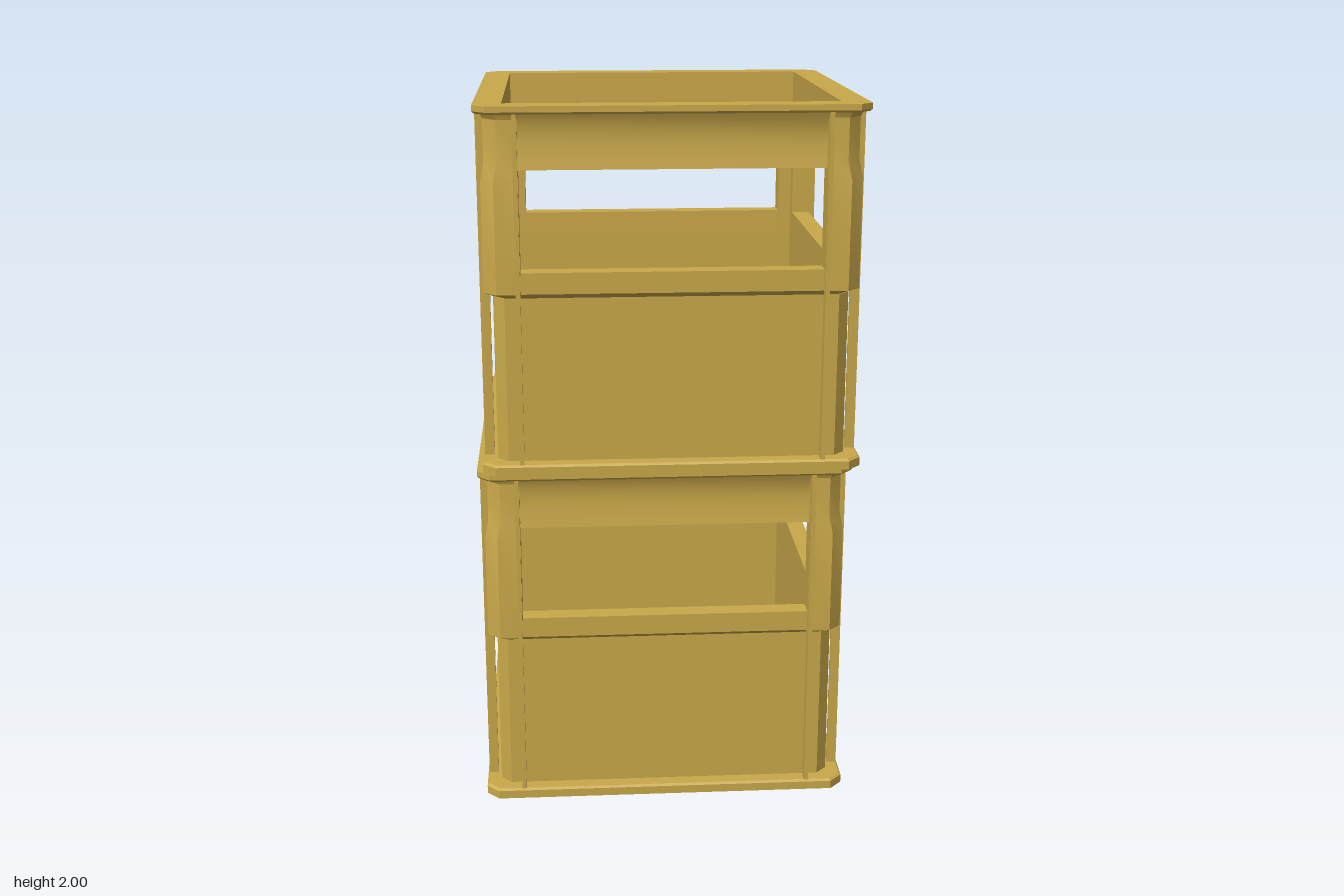
import * as THREE from 'three';
import { toCreasedNormals } from 'three/addons/utils/BufferGeometryUtils.js';

const yellow = new THREE.MeshStandardMaterial({ color: 0xc9a84a });
yellow.name = 'crateYellow';
const black = new THREE.MeshStandardMaterial({ color: 0x0d0d0d });
black.name = 'gridBlack';

const INNER = 0.447;  // half width of the inside
const WINDOW = 0.407; // half width of the window openings

function mesh(name, geometry, material = yellow) {
  const m = new THREE.Mesh(geometry, material);
  m.name = name;
  return m;
}

// Skin a grid of points: rows[i][j], closed along j, optionally closed along i
function skin(rows, closeRows) {
  const pos = [];
  const n = rows[0].length;
  const last = closeRows ? rows.length : rows.length - 1;
  for (let i = 0; i < last; i++) {
    const a = rows[i], b = rows[(i + 1) % rows.length];
    for (let j = 0; j < n; j++) {
      const k = (j + 1) % n;
      pos.push(...a[j], ...b[j], ...b[k], ...a[j], ...b[k], ...a[k]);
    }
  }
  const g = new THREE.BufferGeometry();
  g.setAttribute('position', new THREE.Float32BufferAttribute(pos, 3));
  g.computeVertexNormals();
  return toCreasedNormals(g, 0.5);
}

// Square with cut corners at height y
function cutSquare(r, y, c) {
  const s = r - c;
  return [[r, y, -s], [r, y, s], [s, y, r], [-s, y, r], [-r, y, s], [-r, y, -s], [-s, y, -r], [s, y, -r]];
}

// Ring with an outer profile of [halfWidth, y] and a straight square inside
function ring(name, profile, cut) {
  const rows = profile.map(([r, y]) => cutSquare(r, y, cut));
  rows.push(cutSquare(INNER, profile[profile.length - 1][1], 0));
  rows.push(cutSquare(INNER, profile[0][1], 0));
  return mesh(name, skin(rows, true));
}

// Corner guard: an L-shaped section with a cut corner, lofted upwards
function cornerGuard() {
  const levels = [[0.482, 0.488], [0.507, 0.502], [0.507, 0.8], [0.497, 0.85], [0.497, 0.985]];
  const rows = levels.map(([h, y]) => [
    [INNER, y, WINDOW], [h, y, WINDOW], [h, y, h - 0.035], [h - 0.035, y, h],
    [WINDOW, y, h], [WINDOW, y, INNER], [INNER, y, INNER],
  ]);
  return skin(rows, false);
}

// Grid opening: a square with small notched corners
function padGeometry() {
  const a = 0.095, b = 0.086;
  const pts = [];
  for (let q = 0; q < 4; q++) {
    const c = Math.round(Math.cos(q * Math.PI / 2)), s = Math.round(Math.sin(q * Math.PI / 2));
    for (const [x, y] of [[a, b], [b, b], [b, a]]) pts.push(new THREE.Vector2(c * x - s * y, s * x + c * y));
  }
  const g = new THREE.ExtrudeGeometry(new THREE.Shape(pts), { depth: 0.006, bevelEnabled: false });
  return g.rotateX(-Math.PI / 2);
}

function createCrate() {
  const crate = new THREE.Group();

  // Rims, walls, sill and the coved band above the windows
  crate.add(
    ring('baseRim', [[0.523, 0], [0.523, 0.024], [0.518, 0.03]], 0.035),
    ring('lowerWall', [[0.482, 0.03], [0.482, 0.488]], 0.03),
    ring('windowSill', [[0.482, 0.488], [0.5, 0.502], [0.5, 0.56]], 0.035),
    ring('upperBand', [[0.496, 0.832], [0.49, 0.87], [0.487, 0.91], [0.491, 0.95], [0.505, 0.98]], 0.035),
    ring('topRim', [[0.518, 0.978], [0.523, 0.984], [0.523, 1]], 0.035),
  );

  // Floor slab with a four by four grid above and below
  const floor = mesh('floor', new THREE.BoxGeometry(0.9, 0.151, 0.9));
  floor.position.y = 0.0785;
  crate.add(floor);
  const pad = padGeometry();
  for (const y of [0, 0.15]) {
    for (let i = 0; i < 4; i++) {
      for (let j = 0; j < 4; j++) {
        const m = mesh('gridOpening', pad, black);
        m.position.set((i - 1.5) * 0.239, y, (j - 1.5) * 0.239);
        crate.add(m);
      }
    }
  }

  // Corner guards, and two thin upright ribs on each side
  const guard = cornerGuard();
  const rib = new THREE.BoxGeometry(0.027, 0.96, 0.012);
  for (let q = 0; q < 4; q++) {
    const side = new THREE.Group();
    side.name = 'side';
    side.rotation.y = q * Math.PI / 2;
    side.add(mesh('cornerGuard', guard));
    for (const s of [-1, 1]) {
      const r = mesh('rib', rib);
      r.position.set(0.5055, 0.505, s * 0.414);
      side.add(r);
    }
    crate.add(side);
  }
  return crate;
}

export function createModel() {
  const model = new THREE.Group();
  model.name = 'stackedCrates';
  // Two crates, the upper one slightly shifted
  [-1, 1].forEach((s, i) => {
    const crate = createCrate();
    crate.name = i ? 'upperCrate' : 'lowerCrate';
    crate.position.set(s * 0.009, i, s * 0.007);
    model.add(crate);
  });
  return model;
}
